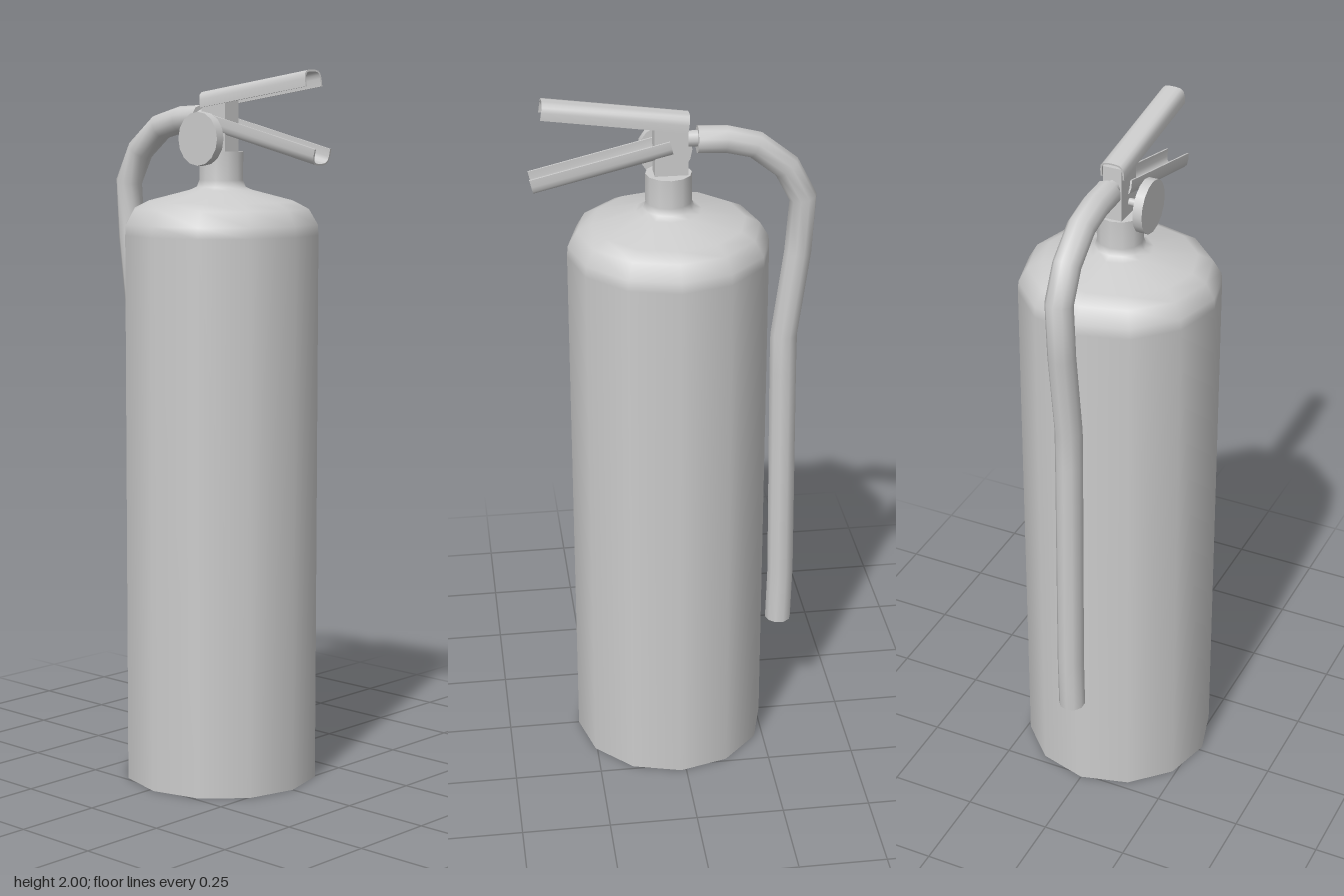
import * as THREE from 'three';
import { toCreasedNormals } from 'three/addons/utils/BufferGeometryUtils.js';

const material = new THREE.MeshStandardMaterial({ color: 0xcccccc, side: THREE.DoubleSide });
const AXIS_X = 0.015;

function part(name, geometry, x = 0, y = 0, z = 0) {
  const mesh = new THREE.Mesh(geometry, material);
  mesh.name = name;
  mesh.position.set(x, y, z);
  return mesh;
}

// Round tube through points in the z = 0 plane, mitred at each bend, capped at both ends
function bentTube(points, radius, sides) {
  const path = points.map(([x, y]) => new THREE.Vector2(x, y));
  const last = path.length - 1;
  const positions = [], index = [];
  path.forEach((p, i) => {
    const a = path[i].clone().sub(path[Math.max(i - 1, 0)]).normalize();
    const b = path[Math.min(i + 1, last)].clone().sub(p).normalize();
    const t = a.add(b).normalize();
    for (let j = 0; j < sides; j++) {
      const angle = (j / sides) * Math.PI * 2;
      const u = Math.cos(angle) * radius;
      positions.push(p.x - t.y * u, p.y + t.x * u, Math.sin(angle) * radius);
      if (i < last) {
        const k = (j + 1) % sides, r = i * sides;
        index.push(r + j, r + k, r + sides + j, r + k, r + sides + k, r + sides + j);
      }
    }
  });
  for (let j = 1; j < sides - 1; j++) {
    const e = last * sides;
    index.push(0, j + 1, j, e, e + j, e + j + 1);
  }
  const geometry = new THREE.BufferGeometry();
  geometry.setAttribute('position', new THREE.Float32BufferAttribute(positions, 3));
  geometry.setIndex(index);
  return toCreasedNormals(geometry, 1.0);
}

// Thin U-shaped channel running along +x, with its rounded ridge on the y = 0 line
function channel(length, ridgeDown) {
  const w = 0.034, depth = 0.045, wall = 0.005, bend = 0.024;
  const shape = new THREE.Shape();
  shape.moveTo(-w, -depth);
  shape.lineTo(-w, -bend);
  shape.quadraticCurveTo(-w, 0, -w + bend, 0);
  shape.lineTo(w - bend, 0);
  shape.quadraticCurveTo(w, 0, w, -bend);
  shape.lineTo(w, -depth);
  shape.lineTo(w - wall, -depth);
  shape.lineTo(w - wall, -bend);
  shape.quadraticCurveTo(w - wall, -wall, w - bend, -wall);
  shape.lineTo(-w + bend, -wall);
  shape.quadraticCurveTo(-w + wall, -wall, -w + wall, -bend);
  shape.lineTo(-w + wall, -depth);
  shape.closePath();
  const geometry = new THREE.ExtrudeGeometry(shape, { depth: length, bevelEnabled: false, curveSegments: 3 });
  if (ridgeDown) geometry.rotateZ(Math.PI);
  geometry.rotateY(Math.PI / 2);
  return toCreasedNormals(geometry, 0.9);
}

export function createModel() {
  const group = new THREE.Group();

  // Twelve-sided tank with domed shoulder and neck
  const profile = [
    [0.277, 0], [0.277, 1.55], [0.275, 1.58], [0.25, 1.622], [0.21, 1.642],
    [0.09, 1.673], [0.07, 1.682], [0.063, 1.7], [0.063, 1.78],
  ].map(([r, y]) => new THREE.Vector2(r, y));
  group.add(part('tank', new THREE.LatheGeometry(profile, 12), AXIS_X));
  const disc = (r, up) => new THREE.CircleGeometry(r, 12).rotateX(up ? -Math.PI / 2 : Math.PI / 2);
  group.add(part('tankBase', disc(0.277, false), AXIS_X));
  group.add(part('neckTop', disc(0.063, true), AXIS_X, 1.78));

  // Valve block
  group.add(part('valveBlock', new THREE.BoxGeometry(0.09, 0.155, 0.054), 0.01, 1.853));

  // Pressure gauge on a short stem
  const rod = (r, length, sides) => new THREE.CylinderGeometry(r, r, length, sides);
  group.add(part('gaugeStem', rod(0.011, 0.06, 8).rotateX(Math.PI / 2), AXIS_X, 1.815, 0.045));
  group.add(part('gauge', rod(0.074, 0.026, 16).rotateX(Math.PI / 2), AXIS_X, 1.815, 0.082));

  // Lever above, carrying handle below
  const lever = part('lever', channel(0.393, false), -0.04, 1.945);
  lever.rotation.z = 0.14;
  const handle = part('carryHandle', channel(0.385, true), 0.004, 1.835);
  handle.rotation.z = -0.234;
  group.add(lever, handle);

  // Hose and its connector
  group.add(part('hoseConnector', rod(0.023, 0.05, 8).rotateZ(Math.PI / 2), -0.05, 1.873));
  group.add(part('hose', bentTube([
    [-0.062, 1.87], [-0.14, 1.867], [-0.22, 1.847], [-0.305, 1.78], [-0.352, 1.69],
    [-0.342, 1.53], [-0.309, 1.28], [-0.309, 1.17], [-0.317, 0.5], [-0.313, 0.335],
  ], 0.038, 10)));
  return group;
}
